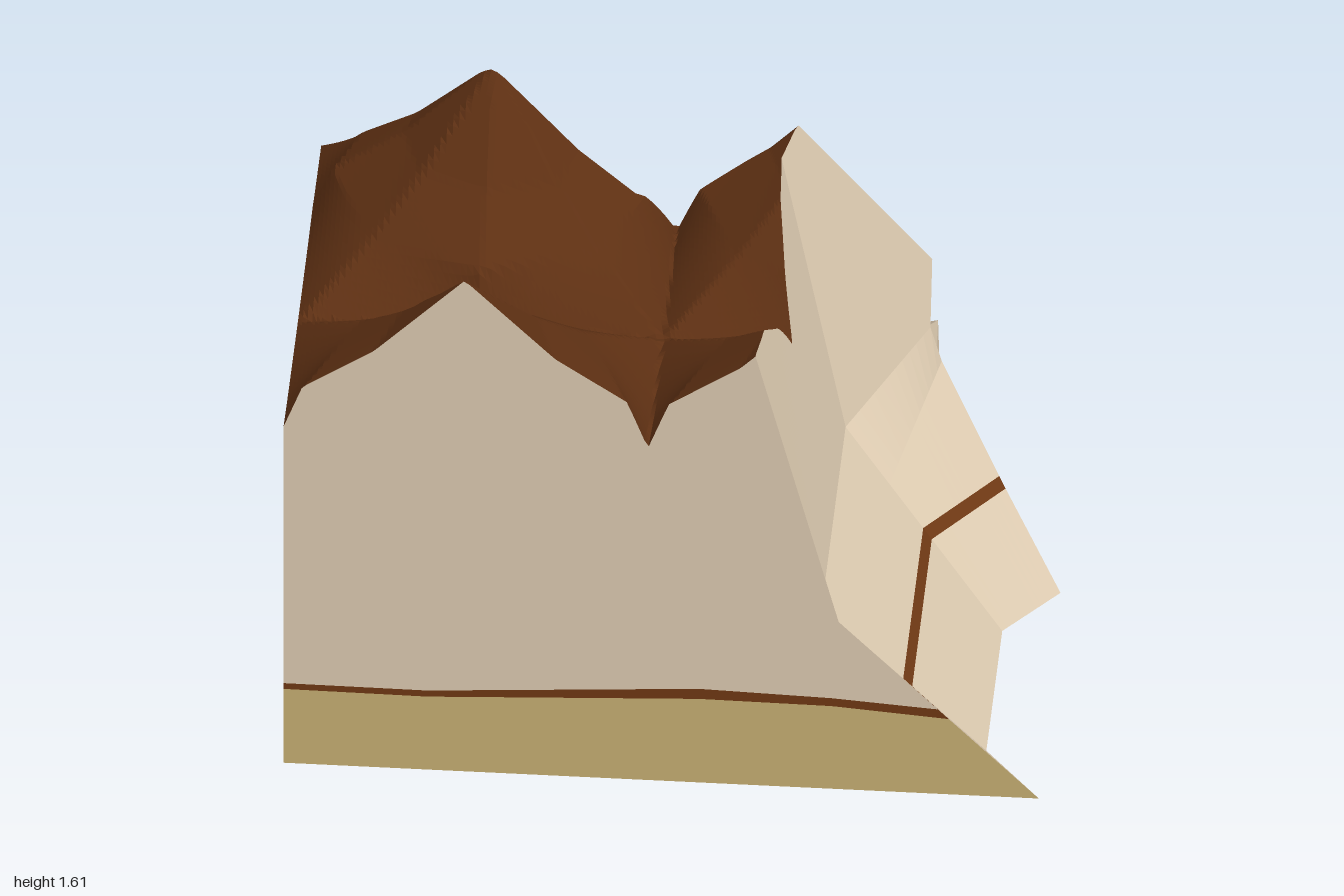
import * as THREE from 'three';

const mat = (color) => new THREE.MeshStandardMaterial({ color, flatShading: true, side: THREE.DoubleSide });
const ROCK = mat(0xdccab0), SOIL = mat(0xc6ae72), STRATUM = mat(0x6e3814), GROUND = mat(0x5e3013);
const lerp = (a, b, t) => a.map((v, i) => v + (b[i] - v) * t);

// Repeating peaks: each is a stepped octagonal pyramid on a square tile
const TILE = 0.97;
function height(x, z) {
  const fold = (d) => Math.abs(d - TILE * Math.round(d / TILE));
  const dx = fold(x + 0.52), dz = fold(z - 0.9);
  const a = Math.max(dx, dz), q = Math.min(dx, dz) / Math.max(a, 1e-6);
  const r = [0, 0.24 / (1 + 0.333 * q), 0.43 / (1 + 0.43 * q), 0.486];
  const y = [1.615, 1.37, 1.24, 1.09];
  const i = a < r[1] ? 0 : a < r[2] ? 1 : 2;
  return y[i] + (y[i + 1] - y[i]) * Math.min(1, (a - r[i]) / (r[i + 1] - r[i]));
}

// Cliff columns from front right round to back left.
// Each: base, stratum, lower ledge, break, shoulder, rim guide; n = steps to the next column
const straight = (base, brk, rim, n) => ({
  n, p: [base, lerp(base, brk, 0.45), lerp(base, brk, 0.72), brk, lerp(brk, rim, 0.4), rim],
});
const SHOULDER = [0.62, 0.84, -0.33], CORNER = [0.31, 1.4, -0.1];
const columns = [
  straight([1, 0, 0.9], [0.47, 0.55, 0.9], [0.25, 1.41, 0.9], 2),
  straight([0.845, 0, 0.7], [0.42, 0.55, 0.84], [0.25, 1.4, 0.88], 48),
  straight([0.845, 0, 0.17], [0.42, 0.55, 0.04], [0.25, 1.37, -0.01], 12),
  { n: 1, p: [[0.985, 0, -0.01], [0.83, 0.245, -0.13], [0.65, 0.55, -0.27], [0.62, 0.66, -0.27], SHOULDER, CORNER] },
  { n: 1, p: [[0.66, 0, -0.45], [0.62, 0.22, -0.42], [0.565, 0.53, -0.41], [0.58, 0.63, -0.36], SHOULDER, CORNER] },
  { n: 36, p: [[0.66, 0, -0.76], [0.61, 0.25, -0.69], [0.61, 0.4, -0.65], [0.57, 0.6, -0.36], SHOULDER, CORNER] },
  { n: 36, p: [[-0.09, 0, -0.52], [-0.14, 0.25, -0.44], [-0.14, 0.4, -0.28], [-0.14, 0.55, -0.13], [-0.14, 0.84, -0.07], [-0.14, 1.27, 0]] },
  { n: 10, p: [[-0.73, 0, -0.73], [-0.73, 0.25, -0.61], [-0.76, 0.4, -0.47], [-0.73, 0.56, -0.32], [-0.735, 0.84, -0.26], [-0.74, 1.27, -0.18]] },
  { n: 8, p: [[-0.91, 0, -0.79], [-0.87, 0.25, -0.7], [-0.92, 0.42, -0.7], [-0.89, 0.57, -0.37], [-0.895, 0.84, -0.32], [-0.9, 1.2, -0.25]] },
  { n: 0, p: [[-1, 0, -0.9], [-1, 0.28, -0.8], [-1, 0.43, -0.78], [-1, 0.63, -0.51], [-1, 0.84, -0.443], [-1, 1.09, -0.36]] },
];

// Follow the upper cliff until it meets the mountain surface
function meetSurface(shoulder, guide) {
  const above = (t) => { const p = lerp(shoulder, guide, t); return p[1] > height(p[0], p[2]); };
  let hi = 0;
  while (!above(hi) && hi < 2) hi += 0.02;
  let lo = hi - 0.02;
  for (let i = 0; i < 20; i++) {
    const mid = (lo + hi) / 2;
    if (above(mid)) hi = mid; else lo = mid;
  }
  const p = lerp(shoulder, guide, hi);
  return [p[0], height(p[0], p[2]), p[2]];
}

// Finished column: base, stratum bottom, stratum top, ledge, break, shoulder, rim
function finish(p) {
  const top = lerp(p[1], p[2], 0.03 / (p[2][1] - p[1][1]));
  return [p[0], p[1], top, p[2], p[3], p[4], meetSurface(p[4], p[5])];
}

// Flat-faced sheet through rows of points
function sheet(rows) {
  const pos = [];
  for (let i = 0; i + 1 < rows.length; i++) {
    for (let j = 0; j + 1 < rows[i].length; j++) {
      const a = rows[i][j], b = rows[i + 1][j], c = rows[i + 1][j + 1], d = rows[i][j + 1];
      pos.push(...a, ...b, ...c, ...a, ...c, ...d);
    }
  }
  const g = new THREE.BufferGeometry();
  g.setAttribute('position', new THREE.Float32BufferAttribute(pos, 3));
  g.computeVertexNormals();
  return g;
}

const flat = (pts) => new THREE.ShapeGeometry(new THREE.Shape(pts.map(([x, y]) => new THREE.Vector2(x, y))));

export function createModel() {
  const group = new THREE.Group();
  const add = (name, geometry, material) => {
    const m = new THREE.Mesh(geometry, material);
    m.name = name;
    group.add(m);
  };

  // Cliff walls with the dark stratum
  const walls = [];
  let cornerIndex = 0;
  columns.forEach((c, k) => {
    if (k === 5) cornerIndex = walls.length;
    for (let i = 0; i < c.n; i++) {
      walls.push(finish(c.p.map((p, j) => lerp(p, columns[k + 1].p[j], i / c.n))));
    }
  });
  walls.push(finish(columns[columns.length - 1].p));
  add('lowerCliff', sheet(walls.map((w) => w.slice(0, 2))), ROCK);
  add('cliffStratum', sheet(walls.map((w) => w.slice(1, 3))), STRATUM);
  add('upperCliff', sheet(walls.map((w) => w.slice(2))), ROCK);

  // Mountain surface stretched between the rims and the two cut edges
  const rim = walls.map((w) => w[6]);
  const right = rim.slice(0, cornerIndex + 1).reverse();
  const back = rim.slice(cornerIndex).reverse();
  const corner = right[0], front = right[right.length - 1], rear = back[0];
  const surface = right.map((r) => {
    const v = (r[2] - corner[2]) / (0.9 - corner[2]);
    return back.map((b) => {
      const u = (b[0] + 1) / (corner[0] + 1);
      const x = (1 - v) * b[0] + v * (-1 + u * (front[0] + 1)) + (1 - u) * -1 + u * r[0]
        - ((1 - u) * -1 + u * ((1 - v) * corner[0] + v * front[0]));
      const z = (1 - v) * b[2] + v * 0.9 + (1 - u) * (rear[2] + v * (0.9 - rear[2])) + u * r[2]
        - ((1 - v) * ((1 - u) * rear[2] + u * corner[2]) + v * 0.9);
      return [x, height(x, z), z];
    });
  });
  add('mountainSurface', sheet(surface), GROUND);

  // Cut faces: soil, stratum and rock; s runs along the face
  const cutFace = (name, lowLine, highLine, baseEnd, topLine, edge, place) => {
    const start = lowLine[0][0];
    add(name + 'Soil', place(flat([[start, 0], [baseEnd, 0], ...[...lowLine].reverse()])), SOIL);
    add(name + 'Stratum', place(flat([...lowLine, ...[...highLine].reverse()])), STRATUM);
    add(name + 'Rock', place(flat([...highLine, ...edge, ...[...topLine].reverse()])), ROCK);
  };
  const first = walls[0], last = walls[walls.length - 1];
  cutFace('front',
    [[-1, 0.243], [-0.62, 0.24], [0.1, 0.275], [0.45, 0.272], [first[1][0], first[1][1]]],
    [[-1, 0.262], [-0.62, 0.26], [0.1, 0.308], [0.45, 0.298], [first[2][0], first[2][1]]],
    1, surface[surface.length - 1].map((p) => [p[0], p[1]]),
    first.slice(3, 6).map((p) => [p[0], p[1]]),
    (g) => g.translate(0, 0, 0.9));
  cutFace('left',
    [[last[1][2], last[1][1]], [0, 0.255], [0.9, 0.243]].reverse(),
    [[last[2][2], last[2][1]], [0, 0.28], [0.9, 0.262]].reverse(),
    -0.9, surface.map((r) => [r[0][2], r[0][1]]).reverse(),
    last.slice(3, 6).map((p) => [p[2], p[1]]),
    (g) => g.rotateY(-Math.PI / 2).translate(-1, 0, 0));

  // Underside
  const outline = columns.map((c) => [c.p[0][0], c.p[0][2]]);
  add('underside', flat([...outline, [-1, 0.9]]).rotateX(Math.PI / 2), SOIL);
  return group;
}
